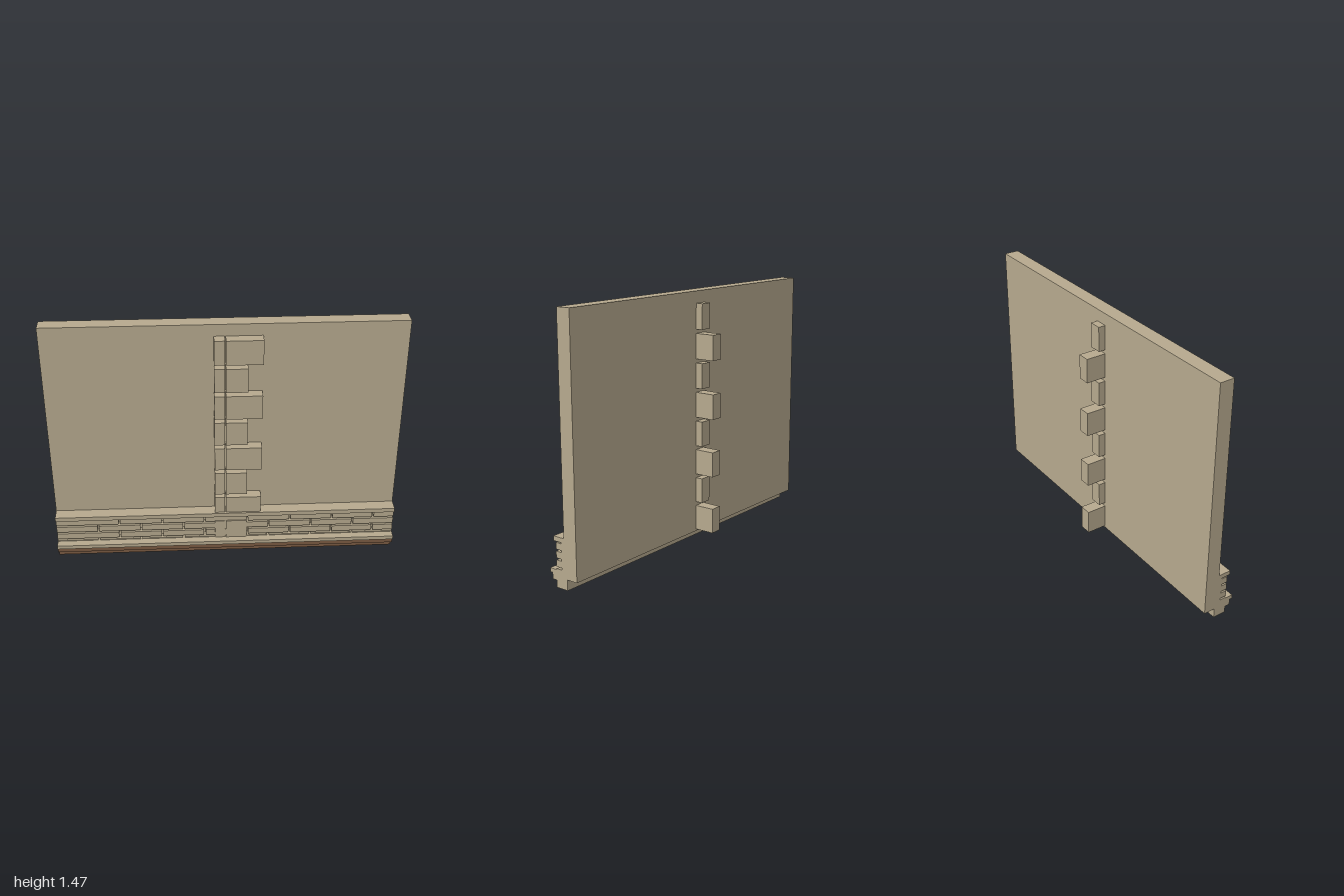
import * as THREE from 'three';

export function createModel() {
  const model = new THREE.Group();
  const stone = new THREE.MeshStandardMaterial({ color: 0xb6a98e });
  stone.name = 'sandstone';
  const earth = new THREE.MeshStandardMaterial({ color: 0x7a5a42 });
  earth.name = 'brown footing';

  // Box given by its limits on each axis
  function block(name, [x0, x1], [y0, y1], [z0, z1], material = stone, parent = model) {
    const mesh = new THREE.Mesh(new THREE.BoxGeometry(x1 - x0, y1 - y0, z1 - z0), material);
    mesh.position.set((x0 + x1) / 2, (y0 + y1) / 2, (z0 + z1) / 2);
    mesh.name = name;
    parent.add(mesh);
    return mesh;
  }
  const full = [-1, 1];

  // Wall slab and the backing of the plinth
  block('wall', full, [0.06, 1.465], [-0.036, 0.05]);
  block('plinthBacking', full, [0.075, 0.256], [0.04, 0.07]);
  block('plinthCap', full, [0.254, 0.28], [0.04, 0.125]);
  block('plinthLedge', full, [0.075, 0.098], [0.04, 0.155]);

  // Stepped footing: brown on the front and underside only
  const footing = [stone, stone, stone, earth, earth, stone];
  block('upperFooting', full, [0.04, 0.075], [0.032, 0.139], footing);
  block('lowerFooting', full, [0, 0.04], [0.032, 0.109], footing);

  // Brick courses in running bond
  const bricks = new THREE.Group();
  bricks.name = 'brickCourses';
  model.add(bricks);
  const courses = [
    { y: [0.211, 0.248], joints: [-0.63, -0.377, -0.125, 0.127, 0.379, 0.63, 0.877] },
    { y: [0.163, 0.2], joints: [-0.755, -0.503, -0.251, 0.001, 0.253, 0.505, 0.755] },
    { y: [0.115, 0.152], joints: [-0.63, -0.377, -0.125, 0.127, 0.379, 0.63, 0.877] },
    { y: [0.09, 0.104], joints: [-0.755, -0.503, -0.251, 0.001, 0.253, 0.505, 0.755] },
  ];
  for (const { y, joints } of courses) {
    const ends = [-1.005, ...joints, 1.005];
    for (let i = 0; i < ends.length - 1; i++) {
      block('brick', [ends[i] + 0.005, ends[i + 1] - 0.005], y, [0.065, 0.108], stone, bricks);
    }
  }

  // Quoins alternate long and short on the front, the opposite on the back
  const quoins = new THREE.Group();
  quoins.name = 'quoins';
  model.add(quoins);
  for (let i = 0; i < 8; i++) {
    const top = 1.396 - i * 0.1685;
    const y = [top - 0.145, top];
    const long = i % 2 === 0;
    block('frontCornerStone', [-0.064, -0.005], y, [0.03, 0.112], stone, quoins);
    block('frontQuoin', [0, long ? 0.204 : 0.122], y, [0.03, 0.114], stone, quoins);
    block('backQuoin', [-0.064, 0.008], y, [long ? -0.078 : -0.155, -0.02], stone, quoins);
  }
  // Solid joint between the lowest two stones
  block('quoinJoint', [-0.01, 0.005], [0.1, 0.217], [0.06, 0.105], stone, quoins);
  return model;
}
